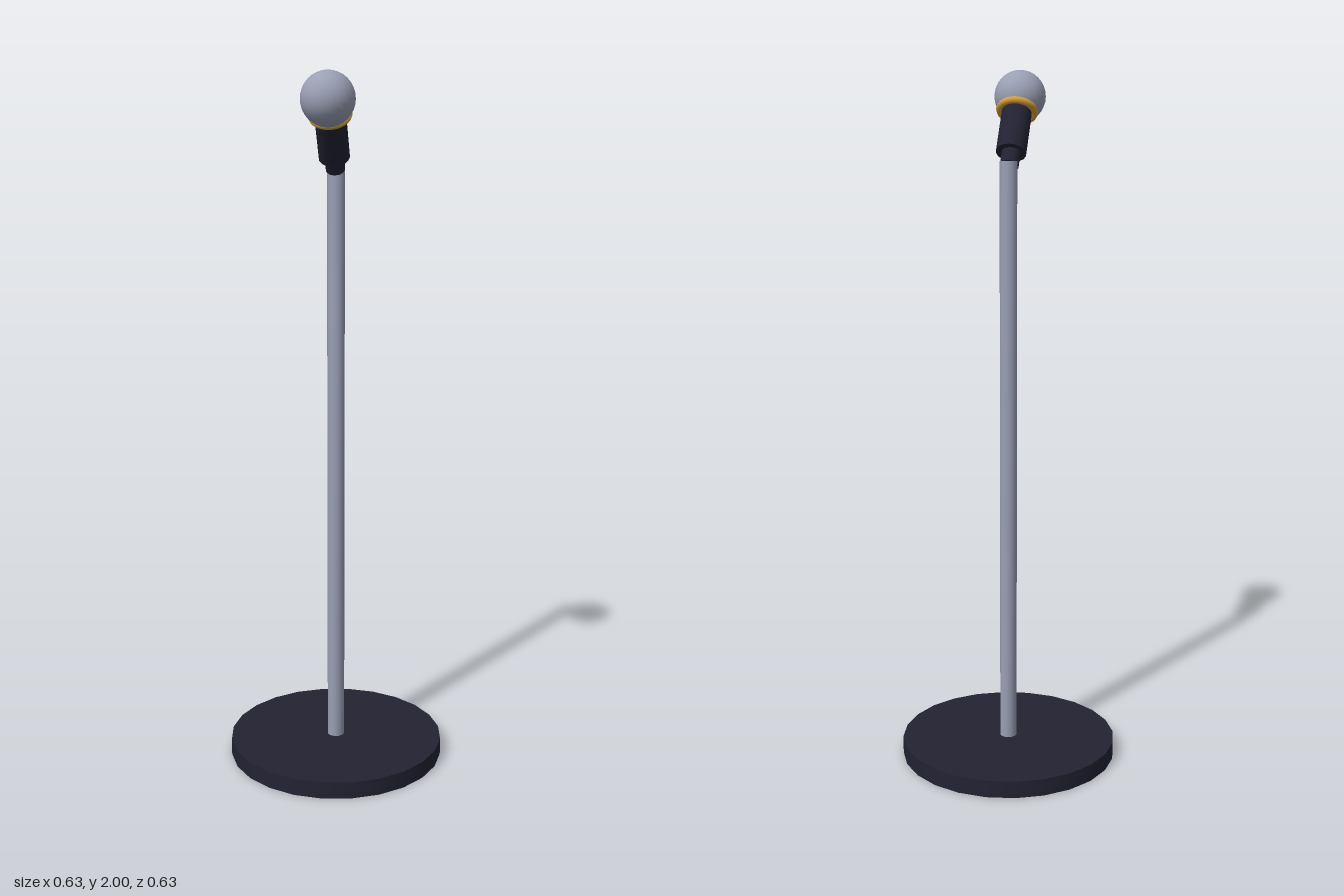
import * as THREE from 'three';
import { toCreasedNormals } from 'three/addons/utils/BufferGeometryUtils.js';

const material = (name, color) => {
  const m = new THREE.MeshStandardMaterial({ color });
  m.name = name;
  return m;
};

export function createModel() {
  const dark = material('dark navy', 0x222233);
  const metal = material('grey metal', 0x9a9fb4);
  const gold = material('gold', 0xd6a038);

  const model = new THREE.Group();
  model.name = 'microphoneStand';

  const add = (parent, name, geometry, mat, x, y, z) => {
    const mesh = new THREE.Mesh(geometry, mat);
    mesh.name = name;
    mesh.position.set(x, y, z);
    parent.add(mesh);
    return mesh;
  };
  const rod = (radius, height, sides) =>
    toCreasedNormals(new THREE.CylinderGeometry(radius, radius, height, sides), 0.7);

  // Round foot and upright pole
  add(model, 'base', rod(0.316, 0.05, 24), dark, 0, 0.025, 0);
  add(model, 'pole', rod(0.025, 1.71, 12), metal, 0, 0.895, 0);

  // Tilted handle, with its origin at the centre of the collar
  const handle = new THREE.Group();
  handle.name = 'handle';
  handle.position.set(0, 1.886, 0.122);
  handle.rotation.x = 0.64;
  model.add(handle);
  add(handle, 'grip', rod(0.043, 0.15, 16), dark, 0, -0.068, 0);
  add(handle, 'joint', rod(0.027, 0.06, 12), dark, 0, -0.156, 0);
  add(handle, 'collar', new THREE.TorusGeometry(0.05, 0.01, 8, 24), gold, 0, 0, 0)
    .rotation.x = Math.PI / 2;

  // Ball head
  add(model, 'head', new THREE.SphereGeometry(0.0735, 24, 16), metal, 0, 1.9265, 0.167);

  return model;
}
